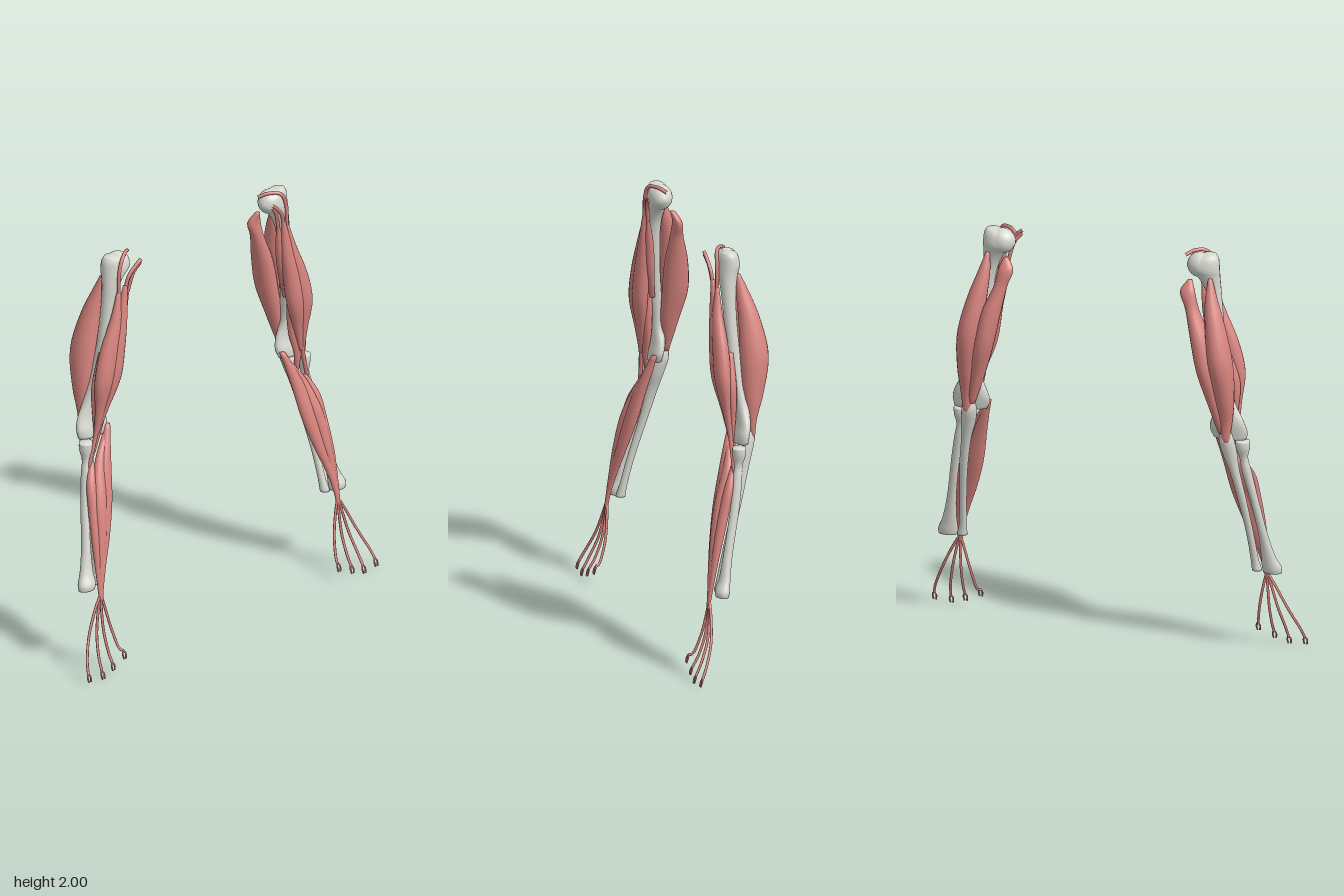
import * as THREE from 'three';

const bone = new THREE.MeshStandardMaterial({ color: 0xd9d9d2 });
bone.name = 'bone';
const muscle = new THREE.MeshStandardMaterial({ color: 0xd9857f });
muscle.name = 'muscle';

// Smooth solid through horizontal elliptical sections [y, x, z, rx, rz], listed from top to bottom
function loft(sections, side, steps = 32, sides = 18) {
  const path = new THREE.CatmullRomCurve3(sections.map(([y, x, z]) => new THREE.Vector3(x * side, y, z)));
  const size = new THREE.CatmullRomCurve3(sections.map(([y, , , rx, rz]) => new THREE.Vector3(rx, rz, y)));
  const pos = [], index = [];
  for (let i = 0; i <= steps; i++) {
    const c = path.getPoint(i / steps), r = size.getPoint(i / steps);
    for (let j = 0; j < sides; j++) {
      const a = (j / sides) * Math.PI * 2;
      pos.push(c.x + Math.max(r.x, 0.003) * Math.cos(a), c.y, c.z + Math.max(r.y, 0.003) * Math.sin(a));
    }
  }
  for (let i = 0; i < steps; i++) {
    for (let j = 0; j < sides; j++) {
      const a = i * sides + j, b = i * sides + ((j + 1) % sides);
      index.push(a, b, a + sides, b, b + sides, a + sides);
    }
  }
  // End caps
  const top = pos.length / 3, first = path.getPoint(0), last = path.getPoint(1);
  pos.push(first.x, first.y + 0.004, first.z, last.x, last.y - 0.004, last.z);
  for (let j = 0; j < sides; j++) {
    const k = (j + 1) % sides, base = steps * sides;
    index.push(top, k, j, top + 1, base + j, base + k);
  }
  const g = new THREE.BufferGeometry();
  g.setAttribute('position', new THREE.Float32BufferAttribute(pos, 3));
  g.setIndex(index);
  g.computeVertexNormals();
  return g;
}

const bones = {
  humerus: [
    [1.99, 0.53, -0.052, 0.032, 0.03], [1.965, 0.505, -0.055, 0.07, 0.048], [1.92, 0.5, -0.056, 0.078, 0.056],
    [1.88, 0.522, -0.05, 0.056, 0.046], [1.8, 0.547, -0.045, 0.036, 0.035], [1.6, 0.572, -0.052, 0.03, 0.03],
    [1.4, 0.6, -0.07, 0.03, 0.03], [1.27, 0.623, -0.085, 0.044, 0.032], [1.19, 0.628, -0.085, 0.08, 0.033],
    [1.14, 0.63, -0.075, 0.092, 0.036], [1.1, 0.635, -0.07, 0.08, 0.035],
  ],
  radius: [
    [1.085, 0.69, -0.05, 0.034, 0.032], [1.05, 0.69, -0.05, 0.033, 0.031], [1.0, 0.693, -0.045, 0.02, 0.02],
    [0.94, 0.702, -0.037, 0.023, 0.023], [0.8, 0.73, -0.015, 0.02, 0.022], [0.6, 0.763, 0.028, 0.022, 0.022],
    [0.48, 0.782, 0.052, 0.036, 0.026], [0.43, 0.793, 0.066, 0.048, 0.034], [0.405, 0.795, 0.068, 0.045, 0.03],
  ],
  ulna: [
    [1.15, 0.628, -0.118, 0.025, 0.02], [1.1, 0.63, -0.108, 0.036, 0.036], [1.03, 0.64, -0.09, 0.034, 0.036],
    [0.95, 0.655, -0.075, 0.024, 0.028], [0.8, 0.68, -0.04, 0.02, 0.021], [0.6, 0.703, 0.016, 0.017, 0.018],
    [0.46, 0.715, 0.05, 0.019, 0.019], [0.41, 0.722, 0.06, 0.024, 0.023],
  ],
};

const muscles = {
  bicepsLongHead: [
    [1.82, 0.533, 0.004, 0.01, 0.009], [1.7, 0.553, 0.01, 0.03, 0.024], [1.55, 0.597, 0.01, 0.05, 0.036],
    [1.4, 0.63, 0.01, 0.052, 0.036], [1.25, 0.643, -0.005, 0.026, 0.02], [1.12, 0.656, -0.02, 0.011, 0.011],
    [0.96, 0.695, -0.025, 0.009, 0.009],
  ],
  bicepsShortHead: [
    [1.85, 0.502, 0.015, 0.01, 0.01], [1.7, 0.524, 0.013, 0.03, 0.025], [1.55, 0.553, 0.013, 0.042, 0.036],
    [1.4, 0.58, 0.012, 0.045, 0.035], [1.25, 0.617, -0.005, 0.026, 0.018], [1.13, 0.645, -0.02, 0.01, 0.01],
  ],
  innerArmMuscle: [
    [1.82, 0.478, 0.005, 0.009, 0.009], [1.7, 0.5, -0.008, 0.022, 0.02], [1.56, 0.53, -0.02, 0.024, 0.022],
    [1.42, 0.57, -0.045, 0.012, 0.012],
  ],
  brachialis: [
    [1.52, 0.6, -0.035, 0.02, 0.015], [1.36, 0.618, -0.028, 0.052, 0.03], [1.22, 0.622, -0.032, 0.04, 0.022],
    [1.12, 0.635, -0.032, 0.022, 0.012], [1.02, 0.645, -0.05, 0.012, 0.012],
  ],
  tricepsLongHead: [
    [1.87, 0.45, -0.105, 0.012, 0.012], [1.82, 0.445, -0.125, 0.036, 0.022], [1.74, 0.468, -0.13, 0.032, 0.032],
    [1.6, 0.513, -0.143, 0.046, 0.056], [1.45, 0.545, -0.148, 0.047, 0.062], [1.3, 0.578, -0.133, 0.036, 0.044],
    [1.14, 0.615, -0.125, 0.02, 0.015],
  ],
  tricepsLateralHead: [
    [1.88, 0.545, -0.092, 0.01, 0.012], [1.8, 0.555, -0.11, 0.027, 0.03], [1.68, 0.58, -0.134, 0.045, 0.05],
    [1.5, 0.612, -0.15, 0.058, 0.068], [1.32, 0.63, -0.137, 0.046, 0.05], [1.2, 0.633, -0.128, 0.032, 0.026],
    [1.1, 0.633, -0.132, 0.018, 0.012],
  ],
  forearmInnerFlexor: [
    [1.135, 0.555, -0.05, 0.014, 0.014], [1.05, 0.585, -0.028, 0.024, 0.022], [0.95, 0.618, -0.002, 0.038, 0.026],
    [0.8, 0.655, 0.033, 0.048, 0.03], [0.65, 0.692, 0.068, 0.04, 0.024], [0.52, 0.724, 0.095, 0.023, 0.017],
    [0.42, 0.742, 0.112, 0.012, 0.01], [0.35, 0.752, 0.12, 0.01, 0.009],
  ],
  forearmMiddleFlexor: [
    [1.1, 0.572, -0.045, 0.012, 0.012], [0.98, 0.64, -0.01, 0.026, 0.02], [0.82, 0.686, 0.036, 0.035, 0.032],
    [0.66, 0.712, 0.072, 0.029, 0.026], [0.5, 0.737, 0.1, 0.016, 0.014], [0.36, 0.752, 0.119, 0.01, 0.009],
  ],
  forearmOuterFlexor: [
    [0.99, 0.675, -0.025, 0.01, 0.01], [0.9, 0.708, 0.006, 0.024, 0.02], [0.78, 0.72, 0.036, 0.029, 0.025],
    [0.62, 0.738, 0.074, 0.024, 0.02], [0.48, 0.75, 0.1, 0.014, 0.012], [0.36, 0.754, 0.119, 0.009, 0.008],
  ],
};

// Fine cords as [x, y, z] paths
const shoulderTendons = {
  longHeadTendon: [[0.415, 1.975, -0.065], [0.45, 1.992, -0.035], [0.5, 1.985, -0.004], [0.527, 1.93, 0.004], [0.533, 1.8, 0.005]],
  shortHeadTendon: [[0.416, 1.963, 0.03], [0.45, 1.935, 0.026], [0.486, 1.89, 0.02], [0.503, 1.82, 0.015]],
  innerArmTendon: [[0.418, 1.95, 0.028], [0.452, 1.905, 0.018], [0.478, 1.81, 0.006]],
};
const fingerEnds = [[0.908, 0.05, 0.2], [0.827, 0.042, 0.205], [0.757, 0.062, 0.2], [0.68, 0.095, 0.193]];

function cord(points, radius, side) {
  const curve = new THREE.CatmullRomCurve3(points.map(([x, y, z]) => new THREE.Vector3(x * side, y, z)));
  return new THREE.TubeGeometry(curve, 20, radius, 8);
}

function makeArm(side) {
  const arm = new THREE.Group();
  arm.name = side > 0 ? 'leftArm' : 'rightArm';
  const add = (name, geometry, material) => {
    const mesh = new THREE.Mesh(geometry, material);
    mesh.name = name;
    arm.add(mesh);
    return mesh;
  };
  for (const [name, s] of Object.entries(bones)) add(name, loft(s, side), bone);
  for (const [name, s] of Object.entries(muscles)) add(name, loft(s, side), muscle);

  // Rounded head of the upper arm bone
  const head = add('humerusHead', new THREE.SphereGeometry(1, 24, 16), bone);
  head.scale.set(0.062, 0.06, 0.054);
  head.position.set(0.485 * side, 1.934, -0.058);

  for (const [name, p] of Object.entries(shoulderTendons)) add(name, cord(p, 0.009, side), muscle);

  // Finger tendons, each ending in a small fork
  fingerEnds.forEach(([x, y, z], i) => {
    const start = 0.752 + (x - 0.77) * 0.06, dx = x - start;
    add('fingerTendon' + (i + 1), cord([
      [start, 0.37, 0.117], [start + dx * 0.2, 0.32, 0.121],
      [start + dx * 0.6, 0.2, 0.14], [start + dx * 0.9, 0.1, 0.177], [x, y, z],
    ], 0.0065, side), muscle);
    for (const d of [-1, 1]) {
      add('fingerTendonFork', cord([
        [x, y + 0.005, z - 0.002], [x + d * 0.009, y - 0.014, z + 0.006], [x + d * 0.006, y - 0.037, z + 0.012],
      ], 0.004, side), muscle);
    }
  });
  return arm;
}

export function createModel() {
  const model = new THREE.Group();
  model.name = 'armAnatomy';
  for (const side of [1, -1]) model.add(makeArm(side));
  return model;
}
